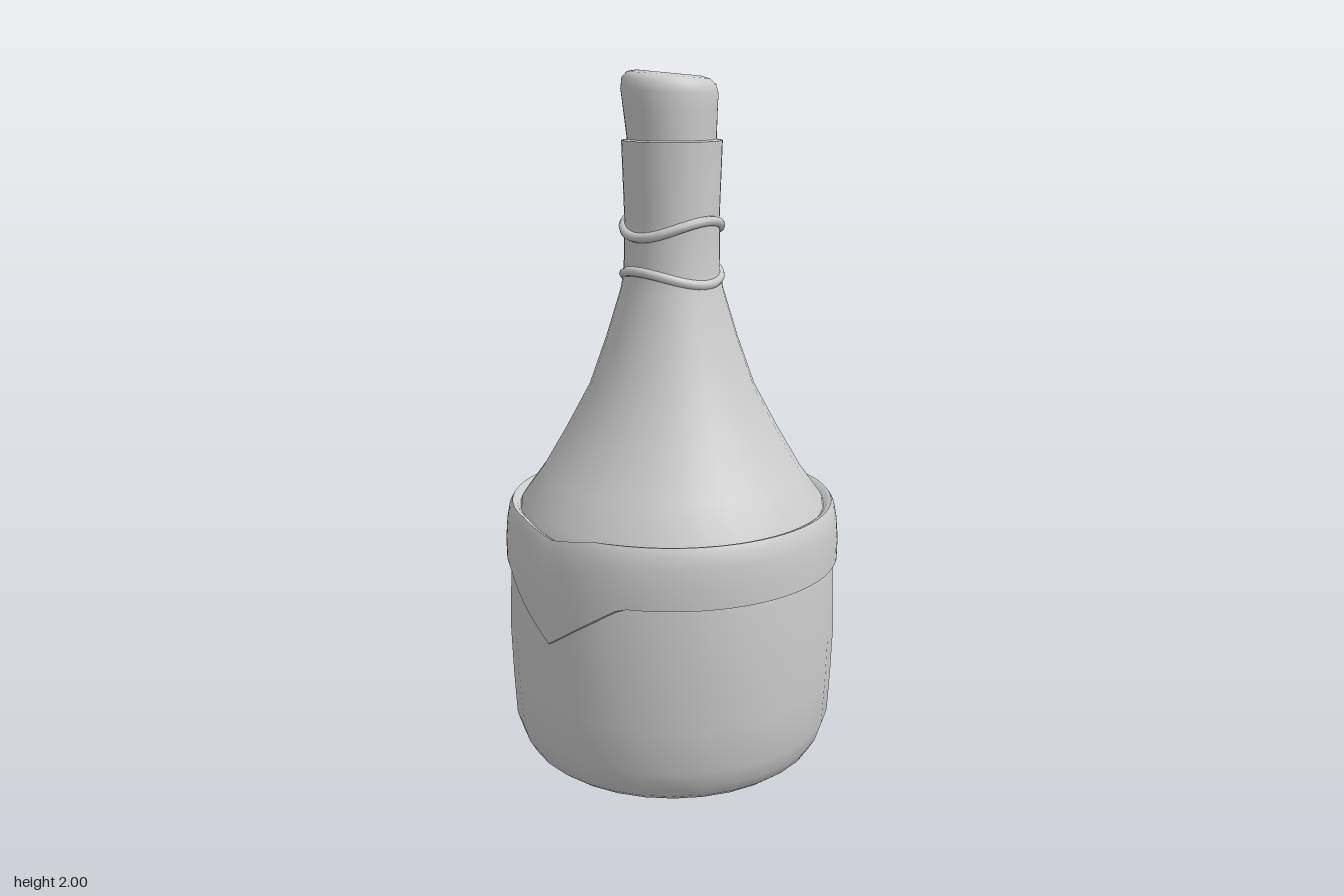
import * as THREE from 'three';
import { toCreasedNormals } from 'three/addons/utils/BufferGeometryUtils.js';

const SEGMENTS = 32;

// Revolve [radius, height] pairs, listed from bottom to top
function lathe(profile, segments = SEGMENTS) {
  return new THREE.LatheGeometry(profile.map(([r, y]) => new THREE.Vector2(r, y)), segments);
}

// Move every vertex of a geometry by a rule
function reshape(geometry, rule) {
  const pos = geometry.attributes.position;
  const v = new THREE.Vector3();
  for (let i = 0; i < pos.count; i++) {
    rule(v.fromBufferAttribute(pos, i));
    pos.setXYZ(i, v.x, v.y, v.z);
  }
  geometry.computeVertexNormals();
  return geometry;
}

// Triangular bump: 1 at x = 0, falling to 0 at |x| = width
const peak = (x, width) => Math.max(0, 1 - Math.abs(x) / width);

export function createModel() {
  const group = new THREE.Group();
  const material = new THREE.MeshStandardMaterial({ color: 0xcccccc, side: THREE.DoubleSide });
  const add = (name, geometry) => {
    const mesh = new THREE.Mesh(geometry, material);
    mesh.name = name;
    group.add(mesh);
  };

  // Bottle: rounded base, straight body, sloping shoulder, neck with open lip
  add('bottle', toCreasedNormals(lathe([
    [0, 0.005], [0.38, 0.005], [0.415, 0.01], [0.44, 0.03], [0.46, 0.065], [0.478, 0.12],
    [0.485, 0.25], [0.49, 0.4], [0.484, 0.58], [0.472, 0.7], [0.445, 0.78], [0.38, 0.87],
    [0.31, 0.99], [0.24, 1.12], [0.19, 1.26], [0.147, 1.4], [0.138, 1.45], [0.135, 1.6],
    [0.142, 1.815], [0.125, 1.818], [0.12, 1.75],
  ]), 0.7));

  // Cloth band: lower hem drops to a point at the front and the back
  const bottom = 0.6, top = 0.775;
  const cloth = lathe([
    [0.482, 0.6], [0.493, 0.603], [0.494, 0.66], [0.489, 0.72], [0.481, 0.76],
    [0.472, 0.775], [0.46, 0.772], [0.445, 0.755],
  ], 96);
  reshape(cloth, (v) => {
    const t = THREE.MathUtils.clamp((v.y - bottom) / (top - bottom), 0, 1);
    v.y -= (1 - t) * 0.155 * peak(v.x, 0.23) + t * 0.025 * peak(v.x, 0.15);
  });
  add('clothBand', toCreasedNormals(cloth, 0.8));

  // Two cords round the neck, waving in opposite directions
  for (const [name, height, wave] of [['upperCord', 1.572, -0.023], ['lowerCord', 1.436, 0.018]]) {
    const points = [];
    for (let i = 0; i < 32; i++) {
      const a = (i / 32) * Math.PI * 2;
      points.push(new THREE.Vector3(
        0.137 * Math.sin(a), height + wave * Math.cos(2 * a), 0.137 * Math.cos(a)));
    }
    const path = new THREE.CatmullRomCurve3(points, true);
    add(name, new THREE.TubeGeometry(path, 64, 0.014, 8, true));
  }

  // Cork: leaning slightly, with an uneven, dented top
  const cork = lathe([
    [0.122, 1.74], [0.126, 1.82], [0.132, 1.9], [0.136, 1.95], [0.131, 1.98],
    [0.115, 1.996], [0.09, 2], [0.045, 1.992], [0, 1.985],
  ]);
  reshape(cork, (v) => {
    const t = THREE.MathUtils.clamp((v.y - 1.8) / 0.2, 0, 1);
    const a = Math.atan2(v.x, v.z);
    const r = Math.hypot(v.x, v.z);
    const lump = 1 + 0.025 * t * Math.cos(3 * a + 0.6);
    v.x = v.x * lump - 0.012 * t;
    v.z = v.z * lump + 0.002 * t;
    v.y -= t * t * (r / 0.13) * 0.012 * (1 + Math.sin(a - 2.36 + Math.PI / 2));
  });
  // Keep the tallest point of the cork at full height
  cork.computeBoundingBox();
  cork.translate(0, 2 - cork.boundingBox.max.y, 0);
  add('cork', cork);

  // Stand on the ground
  group.children.forEach((mesh) => {
    if (mesh.name === 'bottle') mesh.geometry.translate(0, -0.005, 0);
  });
  return group;
}
